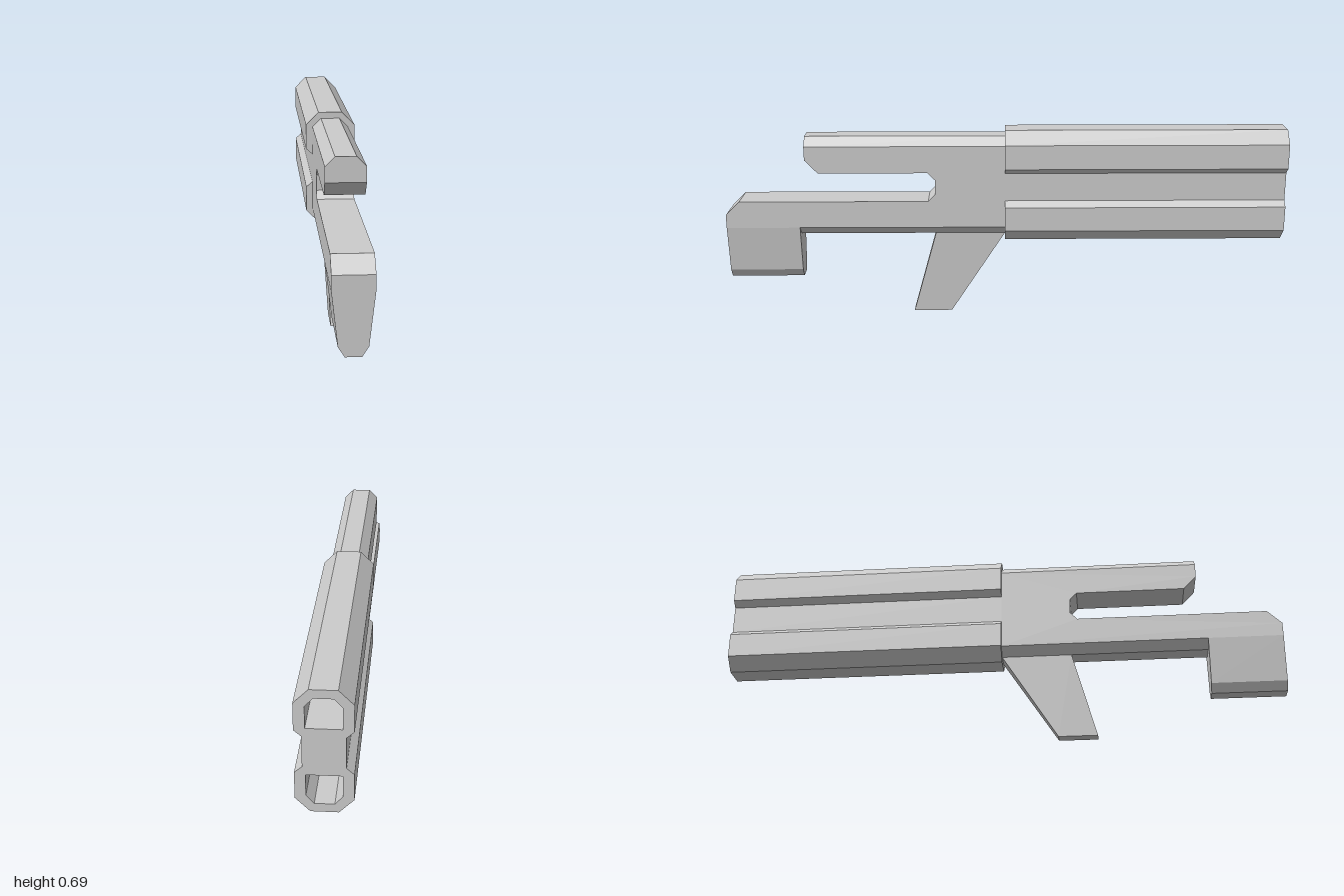
import * as THREE from 'three';

const MID = 0.4875; // height of the mirror line between the two barrels

const toShape = (pts) => new THREE.Shape(pts.map(([x, y]) => new THREE.Vector2(x, y)));
// Close a right-hand half outline with its mirror image in x
const mirrorX = (half) => [...half, ...half.slice().reverse().map(([x, y]) => [-x, y])];
const flipY = (pts) => pts.map(([x, y]) => [x, 2 * MID - y]).reverse();

// Extrude an x-y section from z0 to z1
function alongZ(section, z0, z1, holes = []) {
  const shape = toShape(section);
  for (const h of holes) shape.holes.push(toShape(h));
  const g = new THREE.ExtrudeGeometry(shape, { depth: z1 - z0, bevelEnabled: false });
  return g.translate(0, 0, z0);
}

// Extrude a z-y side profile across x, centred
function acrossX(profile, halfWidth) {
  const g = new THREE.ExtrudeGeometry(toShape(profile), { depth: 2 * halfWidth, bevelEnabled: false });
  return g.rotateY(-Math.PI / 2).translate(halfWidth, 0, 0);
}

export function createModel() {
  const group = new THREE.Group();
  const material = new THREE.MeshStandardMaterial({ color: 0xcccccc, flatShading: true });
  const add = (name, geometry) => {
    const mesh = new THREE.Mesh(geometry, material);
    mesh.name = name;
    group.add(mesh);
  };

  // Double barrel housing with a waist and two open bores
  const upperHalf = [[0.064, 0.538], [0.087, 0.558], [0.087, 0.645], [0.042, 0.69]];
  const housing = mirrorX([...flipY(upperHalf).map(([x, y]) => [x, y]), ...upperHalf]);
  const bore = mirrorX([[0.054, 0.565], [0.054, 0.635], [0.03, 0.662]]);
  add('barrelHousing', alongZ(housing, -1, 0, [bore, flipY(bore)]));

  // Body: flat-sided slab with a slot between the nose and the lower arm
  const side = [
    [0, 0.338], [1, 0.338], [1, 0.386], [0.95, 0.435],
    [0.275, 0.435], [0.25, 0.461], [0.25, 0.514], [0.275, 0.54],
    [0.664, 0.54], [0.71, 0.588], [0.71, 0.637], [0, 0.637],
  ];
  add('body', acrossX(side, 0.064));

  // Bevelled ridges above and below the slab
  const ridge = mirrorX([[0.064, 0.637], [0.033, 0.668]]);
  add('topRidge', alongZ(ridge, 0, 0.71));
  add('bottomRidge', alongZ(flipY(ridge), 0, 0.737));

  // Tapered block hanging under the front end
  const block = mirrorX([[0.025, 0.141], [0.045, 0.172], [0.064, 0.338]]);
  add('frontGrip', alongZ(block, 0.737, 1));

  // Slanted handle, narrowing downward
  const handle = new THREE.BoxGeometry(1, 1, 1);
  const p = handle.attributes.position;
  for (let i = 0; i < p.count; i++) {
    const top = p.getY(i) > 0, front = p.getZ(i) > 0;
    const halfWidth = top ? 0.033 : 0.021;
    const z = top ? (front ? 0.25 : 0) : (front ? 0.335 : 0.197);
    p.setXYZ(i, Math.sign(p.getX(i)) * halfWidth, top ? 0.307 : 0, z);
  }
  handle.computeVertexNormals();
  add('handle', handle);

  return group;
}
